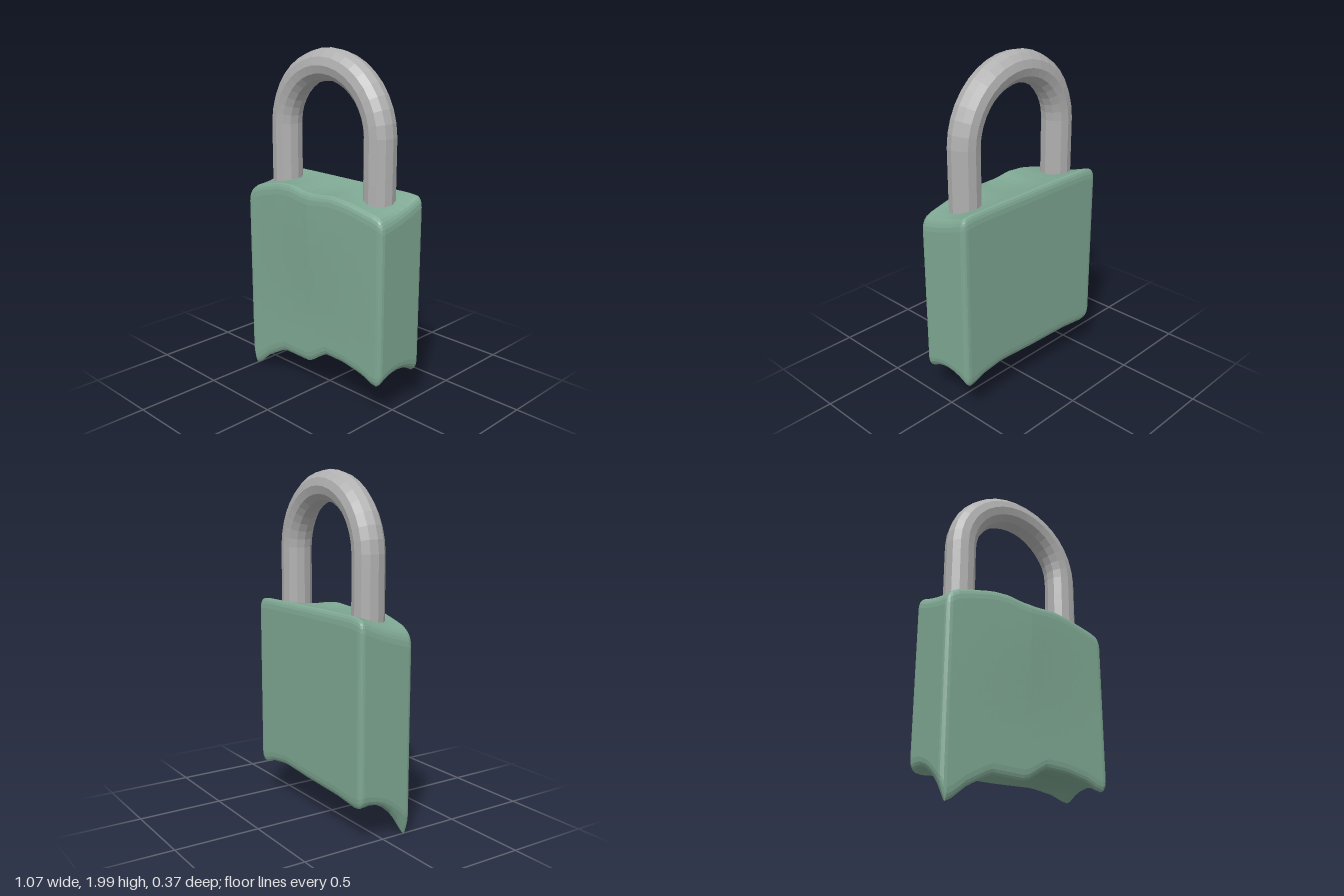
import * as THREE from 'three';
import { mergeVertices } from 'three/addons/utils/BufferGeometryUtils.js';

// Linear interpolation through [x, y] points
function sample(points, x) {
  if (x <= points[0][0]) return points[0][1];
  for (let i = 1; i < points.length; i++) {
    const [x0, y0] = points[i - 1], [x1, y1] = points[i];
    if (x <= x1) return y0 + (y1 - y0) * (x - x0) / (x1 - x0);
  }
  return points[points.length - 1][1];
}

// Edge heights along x
const TOP_FRONT = [[-0.54, 1.13], [-0.47, 1.18], [-0.38, 1.205], [-0.25, 1.235], [-0.14, 1.24],
  [-0.05, 1.222], [0.05, 1.22], [0.17, 1.232], [0.28, 1.22], [0.4, 1.195], [0.49, 1.175], [0.54, 1.14]];
const TOP_BACK = [[-0.54, 1.23], [-0.45, 1.25], [0.45, 1.25], [0.54, 1.24]];
const LOW_FRONT = [[-0.53, 0.07], [-0.5, 0], [-0.46, 0.03], [-0.38, 0.1], [-0.24, 0.18],
  [-0.02, 0.18], [0.11, 0.27], [0.25, 0.268], [0.4, 0.24], [0.49, 0.2], [0.53, 0.22]];
const LOW_MIDDLE = [[-0.5, 0.2], [-0.3, 0.27], [0.1, 0.3], [0.4, 0.28], [0.53, 0.26]];
const LOW_BACK = [[-0.54, 0.23], [-0.48, 0.21], [-0.3, 0.23], [0, 0.24], [0.25, 0.255], [0.4, 0.235], [0.49, 0.2], [0.54, 0.22]];

// Padlock body: a rounded block warped to uneven top and bottom edges
function bodyGeometry() {
  const count = new THREE.Vector3(30, 16, 10);
  const half = new THREE.Vector3(0.537, 0.5, 0.17);
  const radius = new THREE.Vector3(0.035, 0.06, 0.028);
  let geo = new THREE.BoxGeometry(count.x, count.y, count.z, count.x, count.y, count.z);
  geo.deleteAttribute('uv');
  geo.deleteAttribute('normal');
  geo = mergeVertices(geo);
  const pos = geo.attributes.position;
  const p = new THREE.Vector3(), out = new THREE.Vector3();
  for (let i = 0; i < pos.count; i++) {
    p.fromBufferAttribute(pos, i);
    const inner = new THREE.Vector3();
    for (const a of ['x', 'y', 'z']) {
      // The two outermost rows on every side form the rounding
      const flat = count[a] / 2 - 2, v = p[a], sign = Math.sign(v);
      const core = half[a] - radius[a];
      inner[a] = Math.abs(v) <= flat ? v / flat * core : sign * core;
      out[a] = Math.abs(v) <= flat ? 0 : sign * (Math.abs(v) - flat) / 2;
    }
    if (out.lengthSq() > 0) out.normalize();
    p.copy(inner).add(out.multiply(radius));

    // Blend the edge curves from back to front
    const s = THREE.MathUtils.clamp((p.z + 0.15) / 0.3, 0, 1);
    const top = THREE.MathUtils.lerp(sample(TOP_BACK, p.x), sample(TOP_FRONT, p.x), s) - 0.05 * s * (1 - s);
    const low = sample(LOW_BACK, p.x) * (1 - s) * (1 - 2 * s)
      + sample(LOW_MIDDLE, p.x) * 4 * s * (1 - s)
      + sample(LOW_FRONT, p.x) * s * (2 * s - 1);
    const y = THREE.MathUtils.lerp(low, top, p.y + 0.5);

    // The front swells slightly towards its upper middle
    const swell = 0.025 * s * (1 - Math.abs(p.x) / 0.54) * THREE.MathUtils.smoothstep(y, 0.4, 1.15);
    pos.setXYZ(i, p.x, y, p.z - 0.01 + swell);
  }
  geo.computeVertexNormals();
  return geo;
}

// Shackle path: two straight legs joined by a half circle
class ShacklePath extends THREE.Curve {
  getPoint(t, target = new THREE.Vector3()) {
    const r = 0.364, centre = 1.546, foot = 1.12, z = -0.012;
    const leg = 0.1;
    if (t < leg) return target.set(-r, foot + (centre - foot) * t / leg, z);
    if (t > 1 - leg) return target.set(r, foot + (centre - foot) * (1 - t) / leg, z);
    const a = Math.PI * (1 - (t - leg) / (1 - 2 * leg));
    return target.set(r * Math.cos(a), centre + r * Math.sin(a), z);
  }
}

export function createModel() {
  const model = new THREE.Group();
  model.name = 'padlock';

  const body = new THREE.Mesh(bodyGeometry(),
    new THREE.MeshStandardMaterial({ color: 0x7fa893, flatShading: true }));
  body.name = 'body';

  const shackle = new THREE.Mesh(new THREE.TubeGeometry(new ShacklePath(), 32, 0.09, 12, false),
    new THREE.MeshStandardMaterial({ color: 0xb0b0b0, flatShading: true }));
  shackle.name = 'shackle';

  model.add(body, shackle);
  return model;
}
